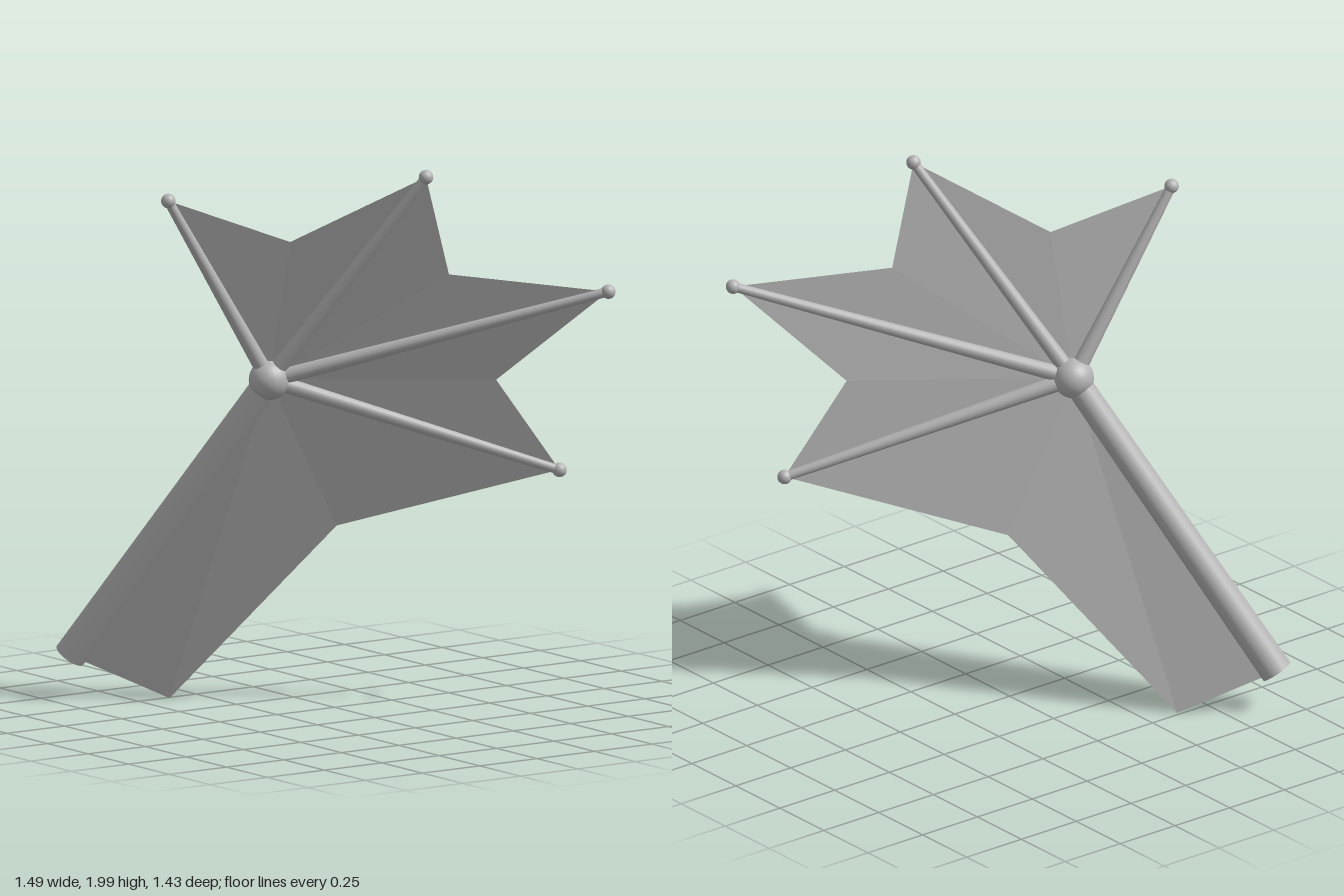
import * as THREE from 'three';

export function createModel() {
  const model = new THREE.Group();
  const boneGrey = new THREE.MeshStandardMaterial({ color: 0xb4b4b4 });
  boneGrey.name = 'boneGrey';
  const webGrey = new THREE.MeshStandardMaterial({ color: 0xb0b0b0, side: THREE.DoubleSide });
  webGrey.name = 'webGrey';

  const v = (x, y, z) => new THREE.Vector3(x, y, z);
  const wrist = v(-0.07, 1.203, 0.235);
  const armEnd = v(-0.696, 0.158, 0.66);
  const tips = [
    v(-0.158, 1.876, 0.612),
    v(0.412, 1.971, -0.108),
    v(0.718, 1.542, -0.686),
    v(0.485, 0.868, -0.638),
  ];
  // Inner corners of the web, one after each fingertip
  const notches = [
    v(0.067, 1.722, 0.24),
    v(0.385, 1.603, -0.227),
    v(0.41, 1.206, -0.415),
    v(-0.035, 0.653, -0.035),
  ];
  const webCorner = v(-0.488, 0.004, 0.373);

  const add = (name, geometry, material) => {
    const mesh = new THREE.Mesh(geometry, material);
    mesh.name = name;
    model.add(mesh);
    return mesh;
  };

  // Tapered rod from a to b
  const rod = (name, a, b, ra, rb, sides) => {
    const dir = b.clone().sub(a);
    const mesh = add(name, new THREE.CylinderGeometry(rb, ra, dir.length(), sides), boneGrey);
    mesh.position.copy(a).add(b).multiplyScalar(0.5);
    mesh.quaternion.setFromUnitVectors(v(0, 1, 0), dir.normalize());
  };
  const ball = (name, p, r) =>
    add(name, new THREE.SphereGeometry(r, 24, 16), boneGrey).position.copy(p);

  // Arm, wrist and fingers
  rod('arm', armEnd, wrist, 0.058, 0.048, 24);
  ball('wrist', wrist, 0.073);
  tips.forEach((tip, i) => {
    rod(`finger${i + 1}`, wrist, tip, 0.03, 0.017, 16);
    ball(`fingertip${i + 1}`, tip, 0.026);
  });

  // Web: a fan of flat triangles around the wrist
  const rim = [];
  tips.forEach((tip, i) => rim.push(tip, notches[i]));
  rim.push(webCorner, armEnd);
  const points = [];
  for (let i = 0; i < rim.length - 1; i++) points.push(wrist, rim[i + 1], rim[i]);
  const web = new THREE.BufferGeometry().setFromPoints(points);
  web.computeVertexNormals();
  add('web', web, webGrey);

  return model;
}
